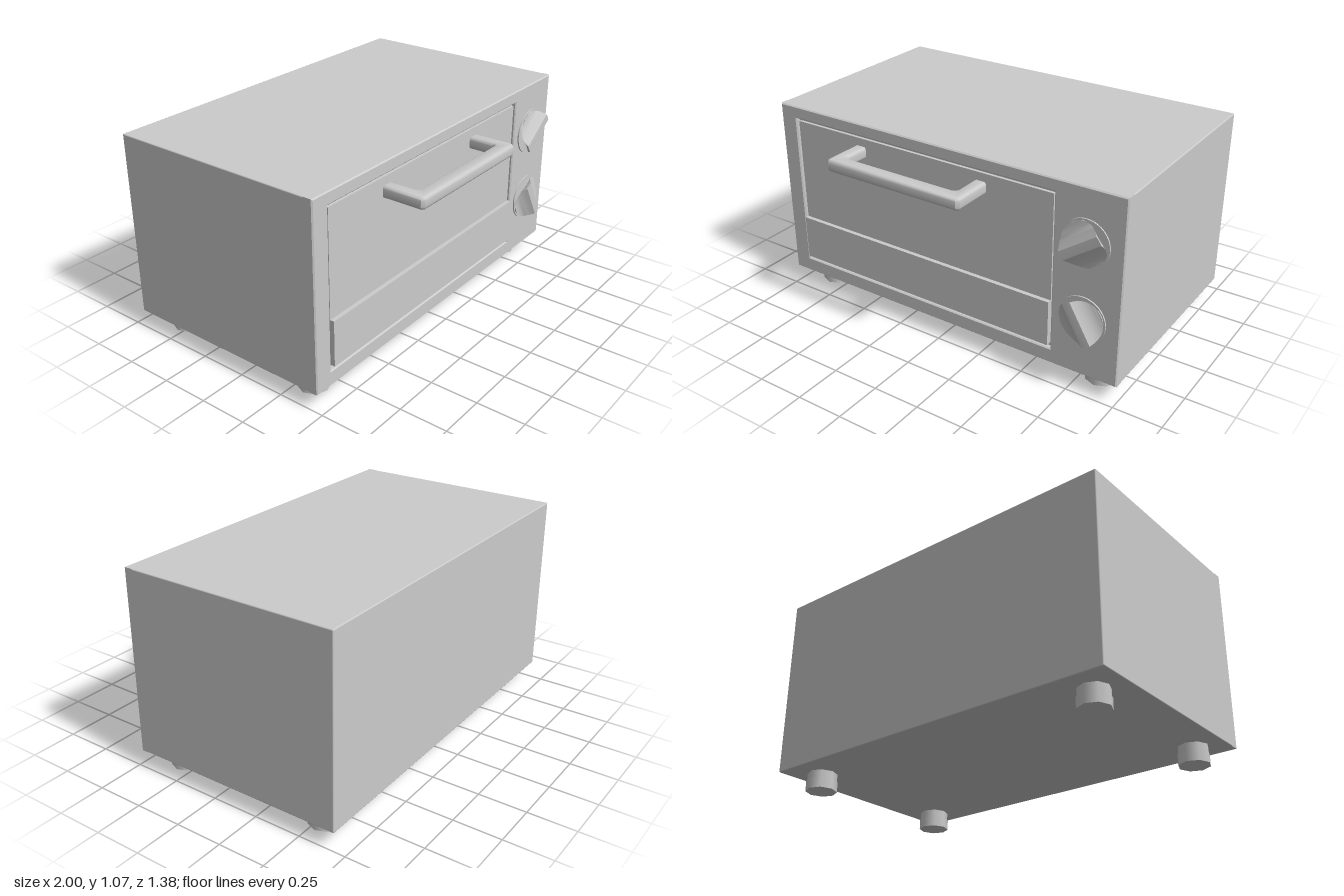
import * as THREE from 'three';
import { toCreasedNormals } from 'three/addons/utils/BufferGeometryUtils.js';
import { RoundedBoxGeometry } from 'three/addons/geometries/RoundedBoxGeometry.js';

const material = new THREE.MeshStandardMaterial({ color: 0xcccccc });

function add(parent, name, geometry, x = 0, y = 0, z = 0) {
  const mesh = new THREE.Mesh(geometry, material);
  mesh.name = name;
  mesh.position.set(x, y, z);
  parent.add(mesh);
  return mesh;
}

// Box given by its min and max corners
function block(parent, name, x0, x1, y0, y1, z0, z1) {
  return add(parent, name, new THREE.BoxGeometry(x1 - x0, y1 - y0, z1 - z0),
    (x0 + x1) / 2, (y0 + y1) / 2, (z0 + z1) / 2);
}

function polygon(points, Type = THREE.Shape) {
  return new Type(points.map(([x, y]) => new THREE.Vector2(x, y)));
}

const rect = (x0, x1, y0, y1) => [[x0, y0], [x1, y0], [x1, y1], [x0, y1]];

// Front frame with the door opening
function frameGeometry() {
  const shape = polygon(rect(-1, 1, 0.095, 1.065));
  shape.holes.push(polygon(rect(-0.9, 0.643, 0.175, 1.0).reverse(), THREE.Path));
  const b = 0.006;
  return new THREE.ExtrudeGeometry(shape, {
    depth: 0.055 - 2 * b, bevelThickness: b, bevelSize: b, bevelOffset: -b, bevelSegments: 1,
  });
}

// U-shaped handle outline seen from above, with softened edges
function handleGeometry() {
  const s = new THREE.Shape();
  s.moveTo(-0.51, 0.455);
  s.lineTo(-0.445, 0.455);
  s.lineTo(-0.445, 0.59);
  s.quadraticCurveTo(-0.445, 0.61, -0.425, 0.61);
  s.lineTo(0.19, 0.61);
  s.quadraticCurveTo(0.21, 0.61, 0.21, 0.59);
  s.lineTo(0.21, 0.455);
  s.lineTo(0.275, 0.455);
  s.lineTo(0.275, 0.67);
  s.lineTo(0.26, 0.685);
  s.lineTo(-0.495, 0.685);
  s.lineTo(-0.51, 0.67);
  const b = 0.018;
  const g = new THREE.ExtrudeGeometry(s, {
    depth: 0.065 - 2 * b, bevelThickness: b, bevelSize: b, bevelOffset: -b,
    bevelSegments: 4, curveSegments: 6,
  });
  g.translate(0, 0, b - 0.0325).rotateX(Math.PI / 2);
  return toCreasedNormals(g, 0.7);
}

// Round knob scooped on both sides, leaving a raised bar across it
function knobGeometry(radius, height) {
  const n = 32, bar = 0.022, low = 0.008;
  const across = [];
  for (let i = 0; i <= n; i++) across.push(-radius * Math.cos((i / n) * Math.PI));
  const top = across.map((s) => {
    const t = Math.max(0, (Math.abs(s) - bar) / (radius - bar));
    return [s, low + (height - low) * Math.pow(1 - t, 2)];
  });
  const base = across.map((s) => [s, 0]);
  const g = new THREE.ExtrudeGeometry(polygon([...base, ...top.reverse()]),
    { depth: 2, bevelEnabled: false });
  // Bend the straight ends onto a circle
  const p = g.attributes.position;
  for (let i = 0; i < p.count; i++) {
    const s = p.getX(i);
    const chord = Math.sqrt(Math.max(0, radius * radius - s * s));
    p.setZ(i, (p.getZ(i) - 1) * chord);
  }
  g.rotateX(Math.PI / 2);
  // Profile height now points along +z, bar runs along y
  return toCreasedNormals(g, 0.6);
}

export function createModel() {
  const model = new THREE.Group();
  model.name = 'toasterOven';

  // Housing
  const body = new THREE.Group();
  body.name = 'housing';
  model.add(body);
  add(body, 'shell', new RoundedBoxGeometry(2, 0.97, 1.14, 2, 0.006), 0, 0.58, -0.12);
  add(body, 'frontFrame', frameGeometry(), 0, 0, 0.426);

  // Door with a raised lower panel and a handle
  const door = new THREE.Group();
  door.name = 'door';
  model.add(door);
  block(door, 'upperPanel', -0.89, 0.635, 0.43, 0.985, 0.44, 0.465);
  block(door, 'lowerPanel', -0.89, 0.635, 0.197, 0.435, 0.44, 0.487);
  add(door, 'handle', handleGeometry(), 0, 0.9125, 0);

  // Control knobs
  const grip = knobGeometry(0.115, 0.055);
  const disc = new THREE.CylinderGeometry(0.122, 0.122, 0.014, 40).rotateX(Math.PI / 2);
  [['upperKnob', 0.795, 35], ['lowerKnob', 0.4, 120]].forEach(([name, y, angle]) => {
    const knob = new THREE.Group();
    knob.name = name;
    knob.position.set(0.808, y, 0.475);
    knob.rotation.z = THREE.MathUtils.degToRad(angle - 90);
    add(knob, 'knobBase', disc);
    add(knob, 'knobGrip', grip, 0, 0, 0.005);
    model.add(knob);
  });

  // Stubby eight-sided feet
  for (const x of [-0.845, 0.845]) {
    for (const z of [0.32, -0.53]) {
      const foot = new THREE.Group();
      foot.name = 'foot';
      foot.position.set(x, 0, z);
      add(foot, 'footPad', new THREE.CylinderGeometry(0.08, 0.08, 0.055, 8), 0, 0.0275, 0);
      add(foot, 'footStem', new THREE.CylinderGeometry(0.076, 0.076, 0.05, 8), 0, 0.075, 0);
      model.add(foot);
    }
  }
  return model;
}
